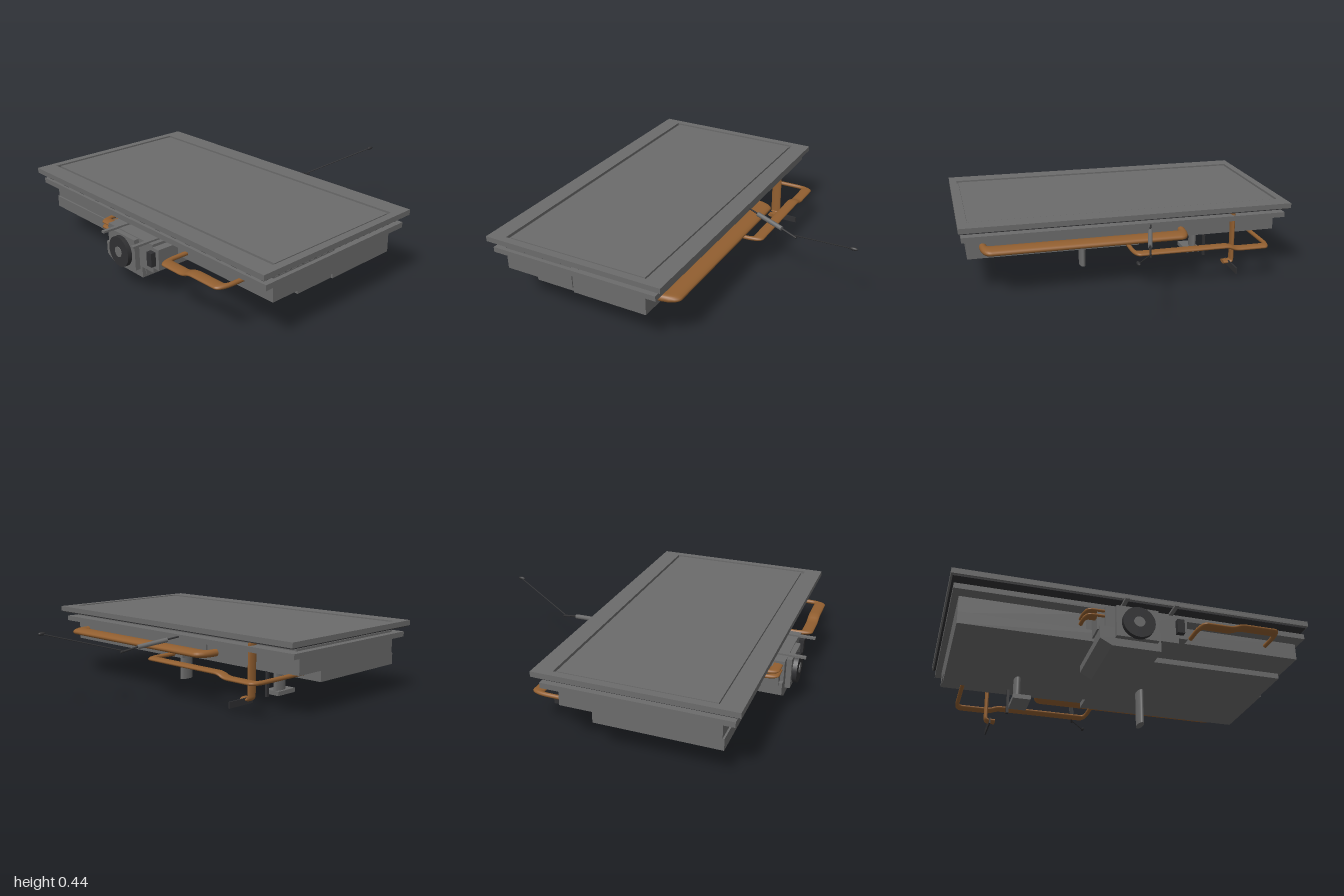
import * as THREE from 'three';

const mat = (name, color, side = THREE.FrontSide) => {
  const m = new THREE.MeshStandardMaterial({ color, side });
  m.name = name;
  return m;
};

export function createModel() {
  const grey = mat('casing grey', 0x6b6b6b);
  const copper = mat('copper brown', 0x925f30);
  const dark = mat('dark grey', 0x303032);
  const model = new THREE.Group();
  const STRETCH = 2.8; // round parts are stretched along x

  const add = (name, geo, m) => {
    const mesh = new THREE.Mesh(geo, m);
    mesh.name = name;
    model.add(mesh);
    return mesh;
  };
  // box from its limits
  const box = (name, m, x0, x1, y0, y1, z0, z1) => {
    const mesh = add(name, new THREE.BoxGeometry(x1 - x0, y1 - y0, z1 - z0), m);
    mesh.position.set((x0 + x1) / 2, (y0 + y1) / 2, (z0 + z1) / 2);
    return mesh;
  };
  // flat-oval pipe through points with rounded corners
  const pipe = (name, points, radius, bend = 0.03) => {
    const p = points.map(([x, y, z]) => new THREE.Vector3(x / STRETCH, y, z));
    const path = new THREE.CurvePath();
    let last = p[0];
    for (let i = 1; i < p.length - 1; i++) {
      const near = (q) => p[i].clone().add(
        q.clone().sub(p[i]).setLength(Math.min(bend, p[i].distanceTo(q) * 0.48)));
      const a = near(p[i - 1]), b = near(p[i + 1]);
      path.add(new THREE.LineCurve3(last, a));
      path.add(new THREE.QuadraticBezierCurve3(a, p[i], b));
      last = b;
    }
    path.add(new THREE.LineCurve3(last, p[p.length - 1]));
    const mesh = add(name, new THREE.TubeGeometry(path, 160, radius, 16), copper);
    mesh.scale.x = STRETCH;
    // closed pipe ends
    for (const t of [0, 1]) {
      const cap = new THREE.Mesh(new THREE.CircleGeometry(radius, 16), copper);
      cap.name = 'pipeEnd';
      cap.position.copy(path.getPoint(t));
      const out = path.getTangent(t).multiplyScalar(t ? 1 : -1);
      cap.quaternion.setFromUnitVectors(new THREE.Vector3(0, 0, 1), out);
      mesh.add(cap);
    }
  };
  // rod between two points
  const rod = (name, m, a, b, r, sides = 8) => {
    const A = new THREE.Vector3(...a), B = new THREE.Vector3(...b);
    const mesh = add(name, new THREE.CylinderGeometry(r, r, A.distanceTo(B), sides), m);
    mesh.position.copy(A).add(B).multiplyScalar(0.5);
    mesh.quaternion.setFromUnitVectors(new THREE.Vector3(0, 1, 0), B.sub(A).normalize());
    return mesh;
  };

  // top slab: rim with an opening, and an inner panel leaving a narrow groove
  const rect = (C, x0, x1, z0, z1) => {
    const s = new C();
    s.moveTo(x0, z0).lineTo(x1, z0).lineTo(x1, z1).lineTo(x0, z1).closePath();
    return s;
  };
  const rim = rect(THREE.Shape, -0.87, 0.25, -1, 1);
  rim.holes.push(rect(THREE.Path, -0.765, 0.14, -0.955, 0.955));
  const rimGeo = new THREE.ExtrudeGeometry(rim, { depth: 0.017, bevelEnabled: false });
  rimGeo.rotateX(-Math.PI / 2);
  add('slabRim', rimGeo, grey).position.y = 0.429;
  box('slabBase', grey, -0.87, 0.25, 0.415, 0.429, -1, 1);
  box('slabPanel', grey, -0.743, 0.127, 0.429, 0.442, -0.942, 0.942);
  box('slabUnderside', dark, -0.86, 0.24, 0.407, 0.415, -0.99, 0.99);

  // stepped casing
  box('upperPlate', grey, -0.77, 0.14, 0.378, 0.39, -0.94, 0.95);
  box('flange', grey, -0.84, 0.21, 0.347, 0.378, -0.98, 0.985);
  box('rearUpperCasing', grey, -0.77, 0.12, 0.245, 0.347, -0.945, -0.27);
  box('frontUpperCasing', grey, -0.77, 0.13, 0.25, 0.347, -0.27, 0.945);
  box('frontLowerCasing', grey, -0.58, 0.13, 0.218, 0.25, -0.07, 0.945);
  box('frontCasingFace', grey, -0.33, 0.13, 0.218, 0.347, 0.945, 0.955);
  box('frontBox', grey, -0.77, -0.33, 0.25, 0.385, 0.945, 0.962);
  box('rearLowerCasing', grey, -0.78, -0.07, 0.182, 0.25, -0.945, 0);

  // underslung box with a chamfered rear edge
  const sump = new THREE.Shape();
  sump.moveTo(-0.1, 0.215).lineTo(-0.1, 0.105).lineTo(0.165, 0.105)
    .lineTo(0.23, 0.14).lineTo(0.23, 0.215).closePath();
  const sumpGeo = new THREE.ExtrudeGeometry(sump, { depth: 0.41, bevelEnabled: false });
  sumpGeo.rotateY(Math.PI / 2);
  add('underBox', sumpGeo, grey).position.x = -0.9;
  box('underBoxPanel', grey, -0.88, -0.51, 0.12, 0.2, 0.1, 0.105);
  box('underBoxTop', grey, -0.86, -0.58, 0.2, 0.25, -0.2, 0.16);

  // side unit with fan
  box('sideUnitCore', grey, -0.9, -0.77, 0.17, 0.335, -0.2, 0.2);
  box('sideUnitRearBlock', grey, -0.88, -0.77, 0.2, 0.32, -0.24, -0.2);
  box('sideUnitFrontBlock', grey, -0.9, -0.77, 0.2, 0.32, 0.2, 0.25);
  box('fanHousing', grey, -0.93, -0.9, 0.15, 0.33, -0.15, 0.08);
  box('sideConnector', dark, -0.93, -0.9, 0.22, 0.3, 0.185, 0.225);
  const fan = add('fanRing', new THREE.CylinderGeometry(0.088, 0.088, 0.028, 32), dark);
  fan.rotation.z = Math.PI / 2;
  fan.position.set(-0.942, 0.232, -0.035);
  const hub = add('fanHub', new THREE.CylinderGeometry(0.03, 0.03, 0.006, 20), grey);
  hub.rotation.z = Math.PI / 2;
  hub.position.set(-0.957, 0.232, -0.035);
  for (const z of [-0.11, 0.16]) box('sideBracket', grey, -1, -0.77, 0.333, 0.345, z - 0.011, z + 0.011);

  // copper pipes
  pipe('longPipe', [[0.05, 0.288, 0.862], [0.215, 0.288, 0.862], [0.215, 0.288, -0.338], [0.05, 0.288, -0.338]], 0.022, 0.04);
  pipe('steppedPipe', [[0.05, 0.235, 0.005], [0.322, 0.235, 0.005], [0.322, 0.235, -0.57],
    [0.322, 0.214, -0.615], [0.322, 0.214, -0.825], [-0.07, 0.214, -0.825]], 0.0125);
  pipe('dropPipe', [[0.165, 0.392, -0.656], [0.165, 0.074, -0.656], [0.165, 0.074, -0.6]], 0.0115, 0.02);
  pipe('sidePipe', [[-0.75, 0.287, 0.322], [-0.918, 0.287, 0.322], [-0.918, 0.287, 0.5],
    [-0.918, 0.31, 0.55], [-0.918, 0.31, 0.772], [-0.75, 0.31, 0.772]], 0.0125);
  for (const y of [0.282, 0.312])
    pipe('shortPipe', [[-0.72, y, -0.3], [-0.86, y, -0.3], [-0.86, y, -0.2]], 0.011);
  box('pipePlate', dark, 0.13, 0.322, 0.047, 0.084, -0.637, -0.629);

  // supports
  for (const [x, y0, y1, z] of [[-0.182, 0.002, 0.22, 0.22], [-0.222, 0.04, 0.185, -0.535]]) {
    const post = add('supportPost', new THREE.CylinderGeometry(0.02, 0.02, y1 - y0, 24), grey);
    post.scale.x = 2.5;
    post.position.set(x, (y0 + y1) / 2, z);
  }
  box('supportFoot', grey, -0.325, -0.17, 0.02, 0.046, -0.57, -0.47);
  box('supportFin', dark, -0.087, -0.068, 0.032, 0.185, -0.57, -0.555);

  // jointed probe arm
  rod('probeRoot', dark, [0.18, 0.37, -0.13], [0.3, 0.35, -0.09], 0.005);
  rod('probeGrip', grey, [0.28, 0.352, -0.098], [0.46, 0.325, -0.045], 0.014, 10);
  rod('probeNeck', dark, [0.44, 0.33, -0.05], [0.565, 0.303, -0.018], 0.006);
  rod('probeWire', dark, [0.55, 0.312, -0.025], [0.97, 0.435, 0.163], 0.0035);
  const tip = add('probeTip', new THREE.SphereGeometry(0.01, 12, 8), dark);
  tip.scale.x = 2.4;
  tip.position.set(0.966, 0.435, 0.163);
  return model;
}
